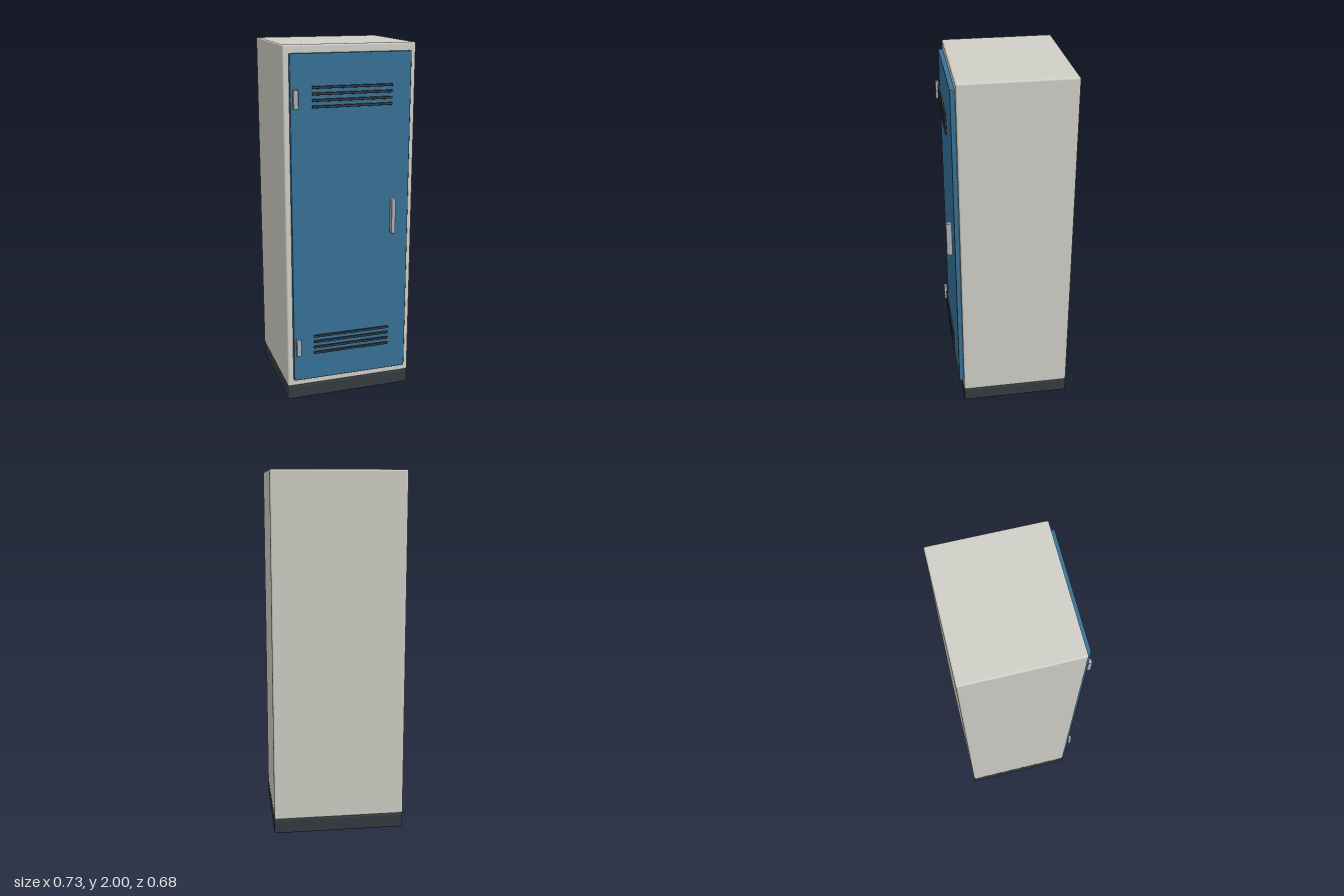
import * as THREE from 'three';
import { RoundedBoxGeometry } from 'three/addons/geometries/RoundedBoxGeometry.js';

const paint = (color) => new THREE.MeshStandardMaterial({ color });

export function createModel() {
  const locker = new THREE.Group();
  locker.name = 'locker';

  const shell = paint(0xd0cfc7);
  const blue = paint(0x387297);
  const dark = paint(0x353b41);
  const metal = paint(0xa9b2b8);

  // Rounded box given by its extents on each axis
  function block(name, [x0, x1], [y0, y1], [z0, z1], radius, material) {
    const geometry = new RoundedBoxGeometry(x1 - x0, y1 - y0, z1 - z0, 3, radius);
    const mesh = new THREE.Mesh(geometry, material);
    mesh.name = name;
    mesh.position.set((x0 + x1) / 2, (y0 + y1) / 2, (z0 + z1) / 2);
    locker.add(mesh);
  }

  // Cabinet on its plinth
  block('plinth', [-0.366, 0.366], [0, 0.083], [-0.341, 0.278], 0.01, dark);
  block('cabinet', [-0.366, 0.366], [0.083, 2], [-0.341, 0.278], 0.01, shell);

  // Door and pull handle
  block('door', [-0.333, 0.333], [0.127, 1.957], [0.27, 0.303], 0.005, blue);
  block('handle', [0.222, 0.246], [0.965, 1.165], [0.308, 0.341], 0.004, metal);

  // A hinge and four vent slats near each end of the door
  for (const [end, y] of [['lower', 0.345], ['upper', 1.735]]) {
    block(`${end}Hinge`, [-0.323, -0.296], [y - 0.058, y + 0.042], [0.308, 0.329], 0.004, metal);
    for (let i = 0; i < 4; i++) {
      const c = y + (i - 1.5) * 0.0333;
      block(`${end}VentSlat`, [-0.221, 0.221], [c - 0.0067, c + 0.0067], [0.313, 0.323], 0.002, dark);
    }
  }

  return locker;
}
